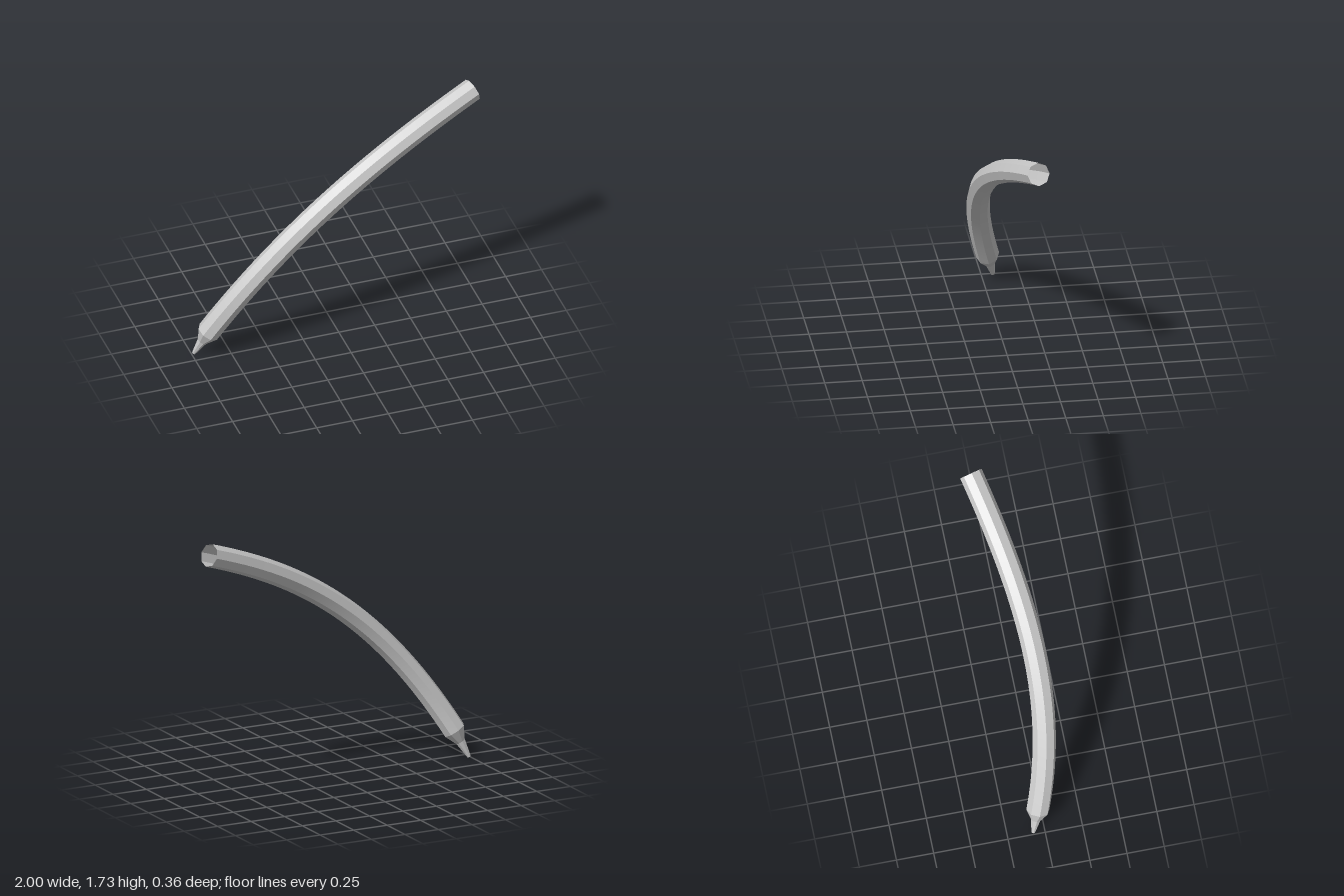
import * as THREE from 'three';
import { toCreasedNormals } from 'three/addons/utils/BufferGeometryUtils.js';

const SIDES = 8;
const RADIUS = 0.078;
const TWIST = THREE.MathUtils.degToRad(13);

// Centre line of the body, a planar bend
const path = new THREE.CubicBezierCurve3(
  new THREE.Vector3(-0.9, 0.19, -0.03),
  new THREE.Vector3(-0.464, 0.971, 0.193),
  new THREE.Vector3(0.119, 1.362, 0.113),
  new THREE.Vector3(0.972, 1.66, -0.108)
);
const planeNormal = path.getTangent(0).cross(path.getTangent(1)).normalize();

// One octagonal ring, square to the given direction
function ring(center, tangent, radius) {
  const n = new THREE.Vector3().crossVectors(tangent, planeNormal).normalize();
  const b = new THREE.Vector3().crossVectors(n, tangent).normalize();
  return Array.from({ length: SIDES }, (_, j) => {
    const a = TWIST + (j / SIDES) * Math.PI * 2;
    return center.clone()
      .addScaledVector(b, Math.cos(a) * radius)
      .addScaledVector(n, Math.sin(a) * radius);
  });
}

// Skin a list of rings, optionally closing the first one
function skin(rings, capStart) {
  const index = [];
  for (let i = 0; i < rings.length - 1; i++) {
    for (let j = 0; j < SIDES; j++) {
      const k = (j + 1) % SIDES;
      const a = i * SIDES + j, b = i * SIDES + k;
      index.push(a, b, a + SIDES, b, b + SIDES, a + SIDES);
    }
  }
  if (capStart) for (let j = 1; j < SIDES - 1; j++) index.push(0, j + 1, j);
  const geometry = new THREE.BufferGeometry().setFromPoints(rings.flat());
  geometry.setIndex(index);
  geometry.computeVertexNormals();
  return geometry;
}

export function createModel() {
  const group = new THREE.Group();
  group.name = 'curvedTube';

  // Body: bent octagonal tube, open at the upper end
  const steps = 40;
  const bodyRings = [];
  for (let i = 0; i <= steps; i++) {
    const t = i / steps;
    bodyRings.push(ring(path.getPoint(t), path.getTangent(t), RADIUS));
  }
  const body = new THREE.Mesh(
    toCreasedNormals(skin(bodyRings, false), 0.5),
    new THREE.MeshStandardMaterial({ color: 0xcccccc, side: THREE.DoubleSide })
  );
  body.name = 'body';
  group.add(body);

  // Tip: shoulder narrowing to a thin nib
  const start = path.getPoint(0);
  const tangent = path.getTangent(0);
  const nib = new THREE.Vector3(-0.985, 0.009, -0.077);
  const tipRings = [[1, 0.013], [0.42, 0.034], [0, RADIUS]].map(([t, r]) =>
    ring(start.clone().lerp(nib, t), tangent, r));
  const tip = new THREE.Mesh(
    skin(tipRings, true),
    new THREE.MeshStandardMaterial({ color: 0xcccccc, flatShading: true, side: THREE.DoubleSide })
  );
  tip.name = 'tip';
  group.add(tip);

  return group;
}
